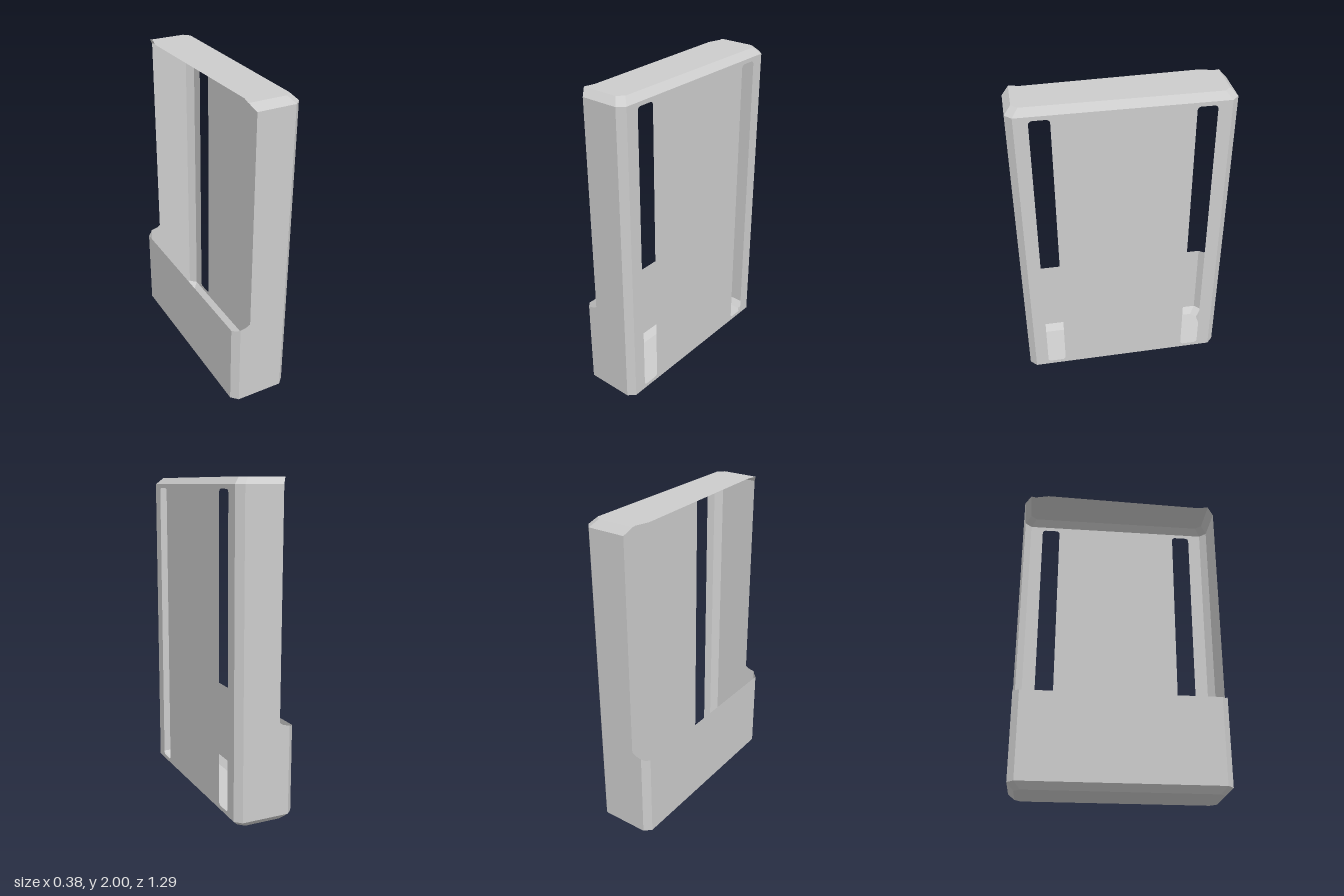
import * as THREE from 'three';

const X = 0.19, Z = 0.645, H = 2, C = 0.04, T = 0.036; // half width, half length, height, bevels

export function createModel() {
  const group = new THREE.Group();
  const grey = new THREE.MeshStandardMaterial({ color: 0xcccccc, side: THREE.DoubleSide });
  grey.name = 'grey';

  function add(name, geometry) {
    const mesh = new THREE.Mesh(geometry, grey);
    mesh.name = name;
    group.add(mesh);
  }

  // Flat panel through a loop of corners, turned to face away from the middle of the case
  function panel(name, corners) {
    const pts = corners.map(p => new THREE.Vector3(...p));
    const n = new THREE.Vector3(), mid = new THREE.Vector3();
    pts.forEach((p, i) => {
      n.add(p.clone().cross(pts[(i + 1) % pts.length]));
      mid.addScaledVector(p, 1 / pts.length);
    });
    const a = n.toArray().map(Math.abs);
    const drop = a.indexOf(Math.max(...a));
    const [u, v] = [0, 1, 2].filter(k => k !== drop);
    const flat = pts.map(p => new THREE.Vector2(p.getComponent(u), p.getComponent(v)));
    const faces = THREE.ShapeUtils.triangulateShape(flat, []);
    mid.y -= H / 2;
    const out = [];
    for (const f of faces) {
      const [p, q, r] = f.map(i => pts[i]);
      const normal = q.clone().sub(p).cross(r.clone().sub(p));
      out.push(...(normal.dot(mid) < 0 ? [p, r, q] : [p, q, r]));
    }
    const g = new THREE.BufferGeometry().setFromPoints(out);
    g.computeVertexNormals();
    add(name, g);
  }

  // Eight-cornered outline; outer = widest, inner = after the bevel
  const ring = (x, z, c, y) => [
    [x, y, -z + c], [x, y, z - c], [x - c, y, z], [-x + c, y, z],
    [-x, y, z - c], [-x, y, -z + c], [-x + c, y, -z], [x - c, y, -z]];
  const outer = y => ring(X, Z, C, y);
  const inner = y => ring(X - C, Z - C, T, y);

  // Bottom and its bevels
  panel('bottom', inner(0));
  const lowOut = outer(C), lowIn = inner(0);
  for (let i = 0; i < 8; i++) {
    const j = (i + 1) % 8;
    panel('bottomBevel', [lowOut[i], lowOut[j], lowIn[j], lowIn[i]]);
  }

  // Top with an uneven open edge
  const top = inner(H), rim = outer(H - C);
  panel('top', [top[7], top[0], top[1], top[2],
    [-0.115, H, Z - C], [-0.1, H, 0.54], [-0.13, H, -0.49], [-0.107, H, -0.575], [-0.113, H, -Z + C]]);
  for (const [i, j] of [[0, 1], [1, 2], [7, 0]]) {
    panel('topBevel', [rim[i], rim[j], top[j], top[i]]);
  }

  // Slotted face
  const face = new THREE.Shape([[-Z + C, C], [Z - C, C], [Z - C, H - C], [-Z + C, H - C]]
    .map(p => new THREE.Vector2(...p)));
  for (const s of [-1, 1]) {
    const x0 = s * 0.464 - 0.059, x1 = s * 0.464 + 0.059, y0 = 0.065, y1 = 1.935, r = 0.022;
    const slot = new THREE.Path();
    slot.absarc(x1 - r, y1 - r, r, 0, Math.PI / 2);
    slot.absarc(x0 + r, y1 - r, r, Math.PI / 2, Math.PI);
    slot.absarc(x0 + r, y0 + r, r, Math.PI, Math.PI * 1.5);
    slot.absarc(x1 - r, y0 + r, r, Math.PI * 1.5, Math.PI * 2);
    slot.closePath();
    face.holes.push(slot);
  }
  add('slottedFace', new THREE.ShapeGeometry(face, 5).rotateY(Math.PI / 2).translate(X, 0, 0));

  // Narrow sides, upright bevels and side top bevels
  for (const s of [-1, 1]) {
    const z = s * Z, zi = s * (Z - C);
    panel('narrowSide', [[X - C, C, z], [X - C, H - C, z], [-0.085, H - C, z], [-0.085, 0.615, z],
      [-0.105, 0.602, z], [-0.13, 0.595, z], [-X + C, 0.592, z], [-X + C, C, z]]);
    panel('slottedFaceBevel', [[X, C, zi], [X, H - C, zi], [X - C, H - C, z], [X - C, C, z]]);
    panel('coverBevel', [[-X, C, zi], [-X, 0.577, zi], [-0.165, 0.58, s * (Z - 0.015)],
      [-X + C, 0.592, z], [-X + C, C, z]]);
    panel('topSideBevel', [[X - C, H - C, z], [X - C - T, H, zi], [-0.114, H, zi], [-0.085, H - C, z]]);
  }

  // Low cover on the open side
  panel('cover', [[-X, C, Z - C], [-X, 0.577, Z - C], [-X, 0.577, -Z + C], [-X, C, -Z + C]]);

  return group;
}
